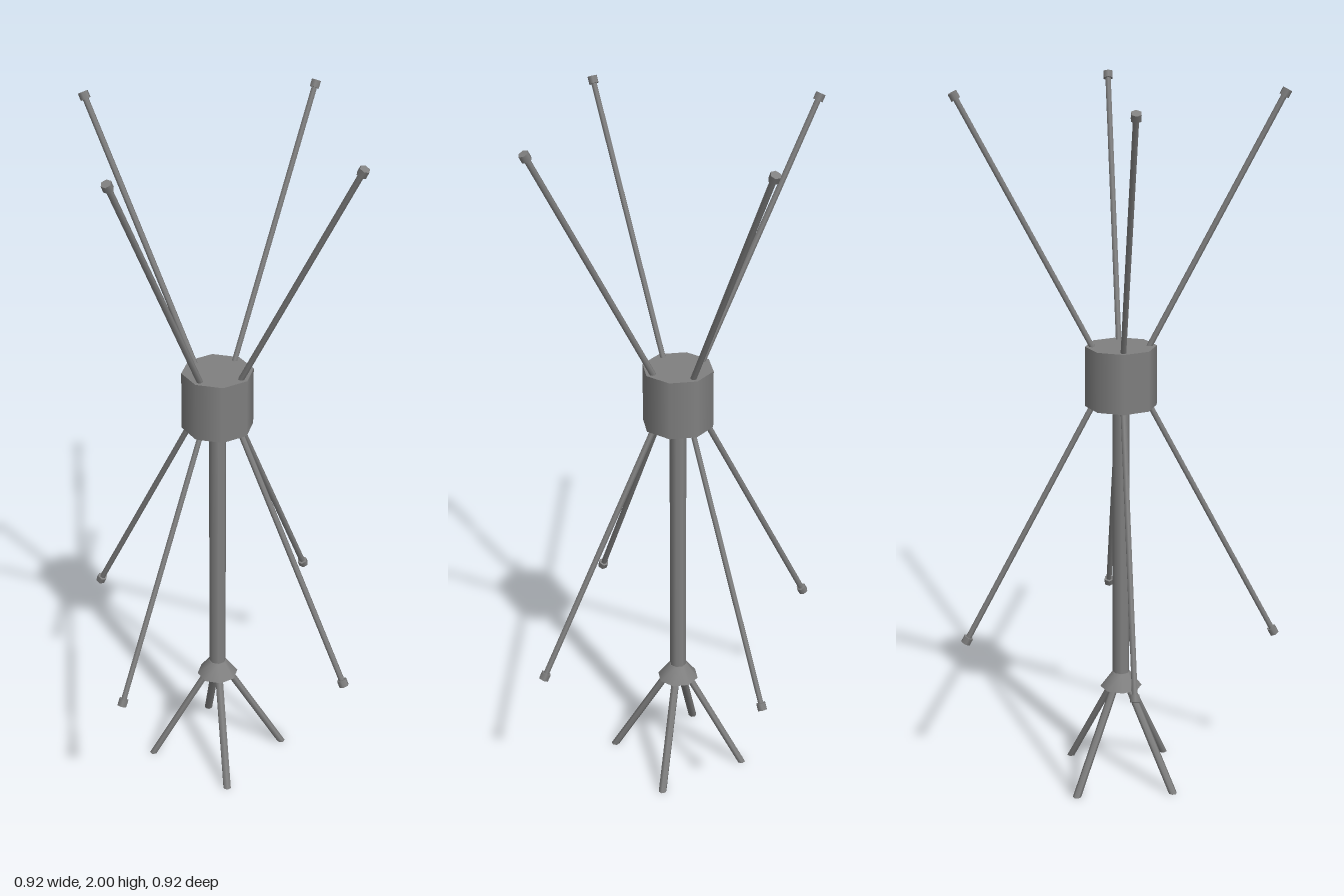
import * as THREE from 'three';

const UP = new THREE.Vector3(0, 1, 0);

export function createModel() {
  const model = new THREE.Group();
  const grey = new THREE.MeshStandardMaterial({ color: 0x808080 });
  grey.name = 'grey metal';

  function add(name, geometry) {
    const mesh = new THREE.Mesh(geometry, grey);
    mesh.name = name;
    model.add(mesh);
    return mesh;
  }

  // Straight bar between two points
  function bar(name, from, to, radius, sides = 6) {
    const mesh = add(name, new THREE.CylinderGeometry(radius, radius, from.distanceTo(to), sides));
    mesh.position.copy(from).lerp(to, 0.5);
    mesh.quaternion.setFromUnitVectors(UP, to.clone().sub(from).normalize());
    return mesh;
  }

  // Central hub, mast and the flared collar above the legs
  const hubY = 1.2135;
  add('hub', new THREE.CylinderGeometry(0.1, 0.1, 0.17, 8)).position.y = hubY;
  add('mast', new THREE.CylinderGeometry(0.024, 0.024, 0.86, 8)).position.y = 0.73;
  add('legCollar', new THREE.CylinderGeometry(0.026, 0.06, 0.045, 8)).position.y = 0.305;

  // Four rods rising from the hub and four mirrored below, each with a tip cap
  for (let i = 0; i < 4; i++) {
    const a = i * Math.PI / 2;
    for (const side of [1, -1]) {
      const at = (r, h) => new THREE.Vector3(Math.sin(a) * r, hubY + side * h, Math.cos(a) * r);
      const label = side > 0 ? 'upper' : 'lower';
      bar(label + 'Rod', at(0.065, 0.057), at(0.439, 0.768), 0.0085);
      bar(label + 'RodTip', at(0.4375, 0.765), at(0.447, 0.783), 0.0145);
    }
  }

  // Four splayed legs on the diagonals, sheared so their feet sit flat
  for (let i = 0; i < 4; i++) {
    const a = Math.PI / 4 + i * Math.PI / 2;
    const geometry = new THREE.CylinderGeometry(0.012, 0.012, 0.295, 6);
    geometry.translate(0, 0.1475, 0);
    const shear = new THREE.Matrix4().set(
      1, 0, 0, 0,
      0, 1, 0, 0,
      0, -0.58, 1, 0.196,
      0, 0, 0, 1);
    geometry.applyMatrix4(shear);
    add('leg', geometry).rotation.y = a;
  }

  return model;
}
